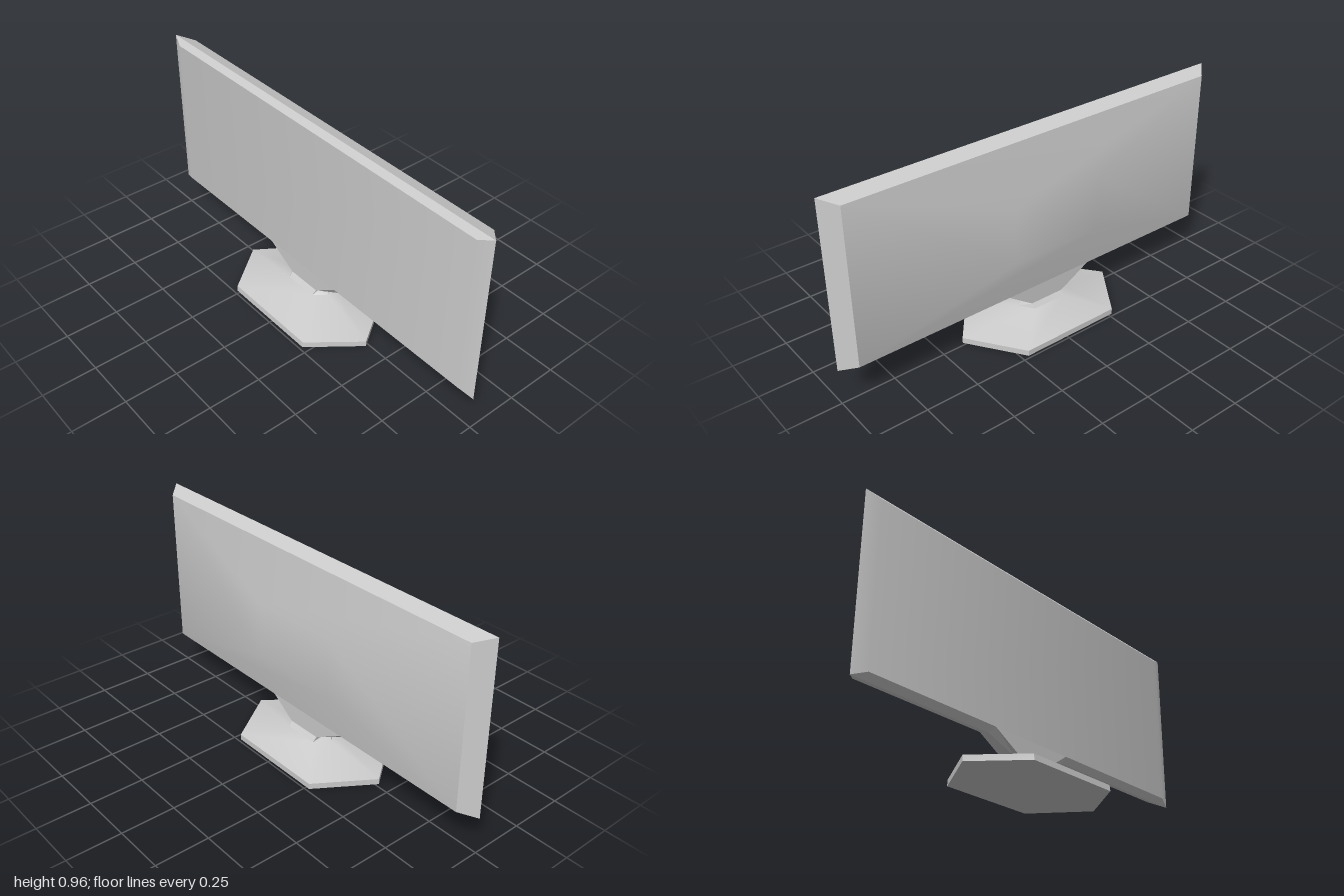
import * as THREE from 'three';
import { toCreasedNormals } from 'three/addons/utils/BufferGeometryUtils.js';

const material = new THREE.MeshStandardMaterial({ color: 0xcccccc });

// Skins a stack of equal-sized rings (counter-clockwise seen from the end), with optional caps.
function loft(name, rings, { startCap = true, endCap = true } = {}) {
  const n = rings[0].length;
  const index = [];
  for (let r = 0; r < rings.length - 1; r++) {
    for (let j = 0; j < n; j++) {
      const a = r * n + j, b = r * n + (j + 1) % n;
      index.push(a, b, b + n, a, b + n, a + n);
    }
  }
  const last = (rings.length - 1) * n;
  for (let j = 1; j < n - 1; j++) {
    if (startCap) index.push(0, j + 1, j);
    if (endCap) index.push(last, last + j, last + j + 1);
  }
  const geometry = new THREE.BufferGeometry();
  geometry.setAttribute('position', new THREE.Float32BufferAttribute(rings.flat(2), 3));
  geometry.setIndex(index);
  const mesh = new THREE.Mesh(toCreasedNormals(geometry, 0.5), material);
  mesh.name = name;
  return mesh;
}

// Upright rectangle at depth z.
const rect = (x0, x1, y0, y1, z) => [[x0, y0, z], [x1, y0, z], [x1, y1, z], [x0, y1, z]];

// Hexagon seen from above: side corners at sideX, flat front and back edges spanning edgeX.
function hexagon(y, sideX, edgeX, front, back, sideZ, sideY = y) {
  return [
    [sideX[1], sideY, sideZ], [edgeX[1], y, back], [edgeX[0], y, back],
    [sideX[0], sideY, sideZ], [edgeX[0], y, front], [edgeX[1], y, front],
  ];
}

export function createModel() {
  const group = new THREE.Group();
  group.name = 'monitor';

  // Screen housing: raised back, bevelled rim, flat front
  group.add(loft('screenPanel', [
    rect(-0.26, 0.2, 0.415, 0.685, -0.132),
    rect(-0.935, 0.935, 0.195, 0.94, -0.062),
    rect(-1, 1, 0.168, 0.965, 0.004),
    rect(-0.935, 0.935, 0.195, 0.94, 0.027),
  ]));

  // Six-sided foot with sloping top and a small collar
  const waist = hexagon(0.108, [-0.115, 0.062], [-0.112, 0.06], 0.027, -0.062, 0.004);
  group.add(loft('standBase', [
    hexagon(0, [-0.437, 0.39], [-0.268, 0.218], 0.235, -0.237, 0.015),
    hexagon(0.027, [-0.437, 0.39], [-0.268, 0.218], 0.232, -0.237, 0.015),
    hexagon(0.087, [-0.153, 0.1], [-0.108, 0.056], 0.046, -0.079, -0.012),
    waist,
  ], { endCap: false }));

  // Flared neck running up into the lower rim of the panel
  group.add(loft('neck', [
    waist,
    hexagon(0.195, [-0.28, 0.19], [-0.265, 0.185], 0.027, -0.062, 0.004, 0.168),
  ], { startCap: false, endCap: false }));

  return group;
}
